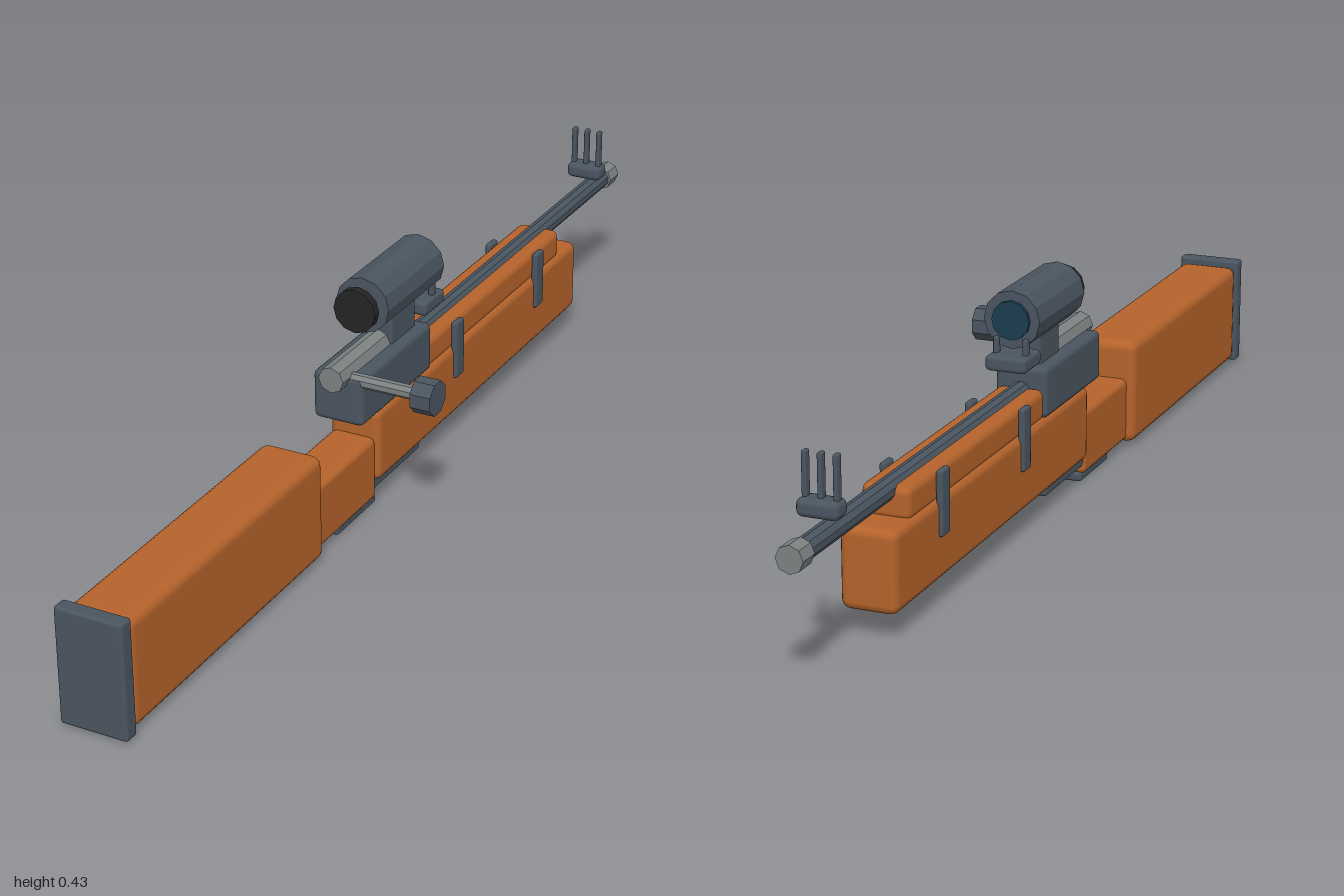
import * as THREE from 'three';
import { RoundedBoxGeometry } from 'three/addons/geometries/RoundedBoxGeometry.js';

const CX = -0.065; // centre line of the body

export function createModel() {
  const group = new THREE.Group();
  const mat = (color, flatShading = false) => new THREE.MeshStandardMaterial({ color, flatShading });
  const wood = mat(0xb5632b);
  const metal = mat(0x4a5560);
  const metalFlat = mat(0x4a5560, true);
  const steel = mat(0x7c8181, true);
  const black = mat(0x242424, true);
  const glass = mat(0x1c3d50, true);

  const add = (name, geometry, material) => {
    const mesh = new THREE.Mesh(geometry, material);
    mesh.name = name;
    group.add(mesh);
    return mesh;
  };

  // Bevelled box given by its x centre and width, and its y and z ranges
  const box = (name, material, x, w, y0, y1, z0, z1, bevel) => {
    const geo = new RoundedBoxGeometry(w, y1 - y0, z1 - z0, 2, bevel);
    geo.translate(x, (y0 + y1) / 2, (z0 + z1) / 2);
    return add(name, geo, material);
  };

  // Faceted cylinder lying along z
  const tubeZ = (name, material, r, y, z0, z1, sides) => {
    const geo = new THREE.CylinderGeometry(r, r, z1 - z0, sides);
    geo.rotateX(Math.PI / 2).translate(CX, y, (z0 + z1) / 2);
    return add(name, geo, material);
  };

  // Faceted cylinder lying along x
  const tubeX = (name, material, r, x0, x1, y, z, sides) => {
    const geo = new THREE.CylinderGeometry(r, r, x1 - x0, sides);
    geo.rotateY(Math.PI / 8).rotateZ(Math.PI / 2).translate((x0 + x1) / 2, y, z);
    return add(name, geo, material);
  };

  // Wooden stock
  box('buttStock', wood, CX, 0.12, 0.01, 0.213, 0.348, 0.972, 0.018);
  box('wrist', wood, CX, 0.088, 0.015, 0.14, 0.125, 0.36, 0.012);
  box('foreStock', wood, CX, 0.102, 0.048, 0.193, -0.73, 0.13, 0.016);
  box('handguard', wood, CX, 0.088, 0.185, 0.244, -0.66, -0.075, 0.014);

  // Metal fittings on the stock
  box('buttPlate', metal, CX, 0.128, 0.006, 0.224, 0.97, 1.0, 0.006);
  box('lowerPlate', metal, CX, 0.078, 0.002, 0.02, 0.12, 0.265, 0.006);
  box('floorPlate', metal, CX, 0.078, 0.03, 0.052, -0.055, 0.132, 0.006);
  box('junctionStrip', metal, CX, 0.08, 0.035, 0.128, 0.122, 0.14, 0.005);
  for (const z of [-0.188, -0.542]) {
    for (const s of [-1, 1]) {
      box('sideBand', metal, CX + s * 0.051, 0.013, 0.127, 0.244, z - 0.017, z + 0.017, 0.005);
    }
  }

  // Receiver with bolt and side handle
  box('receiver', metal, CX, 0.1, 0.188, 0.283, -0.083, 0.19, 0.011);
  tubeZ('bolt', steel, 0.025, 0.283, -0.01, 0.213, 8);
  tubeX('boltHandle', steel, 0.013, -0.06, 0.09, 0.275, 0.175, 8);
  tubeX('boltKnob', metalFlat, 0.033, 0.088, 0.128, 0.275, 0.175, 8);

  // Barrel and muzzle
  tubeZ('barrel', metalFlat, 0.019, 0.236, -0.97, -0.07, 10);
  tubeZ('muzzle', steel, 0.024, 0.236, -1.0, -0.96, 8);

  // Scope on its mount
  box('scopeMount', metal, CX, 0.056, 0.272, 0.345, -0.06, 0.035, 0.007);
  tubeZ('scopeBody', metalFlat, 0.0535, 0.38, -0.125, 0.093, 12);
  tubeZ('eyepiece', black, 0.042, 0.38, 0.108, 0.124, 12);
  tubeZ('frontLens', glass, 0.036, 0.38, -0.132, -0.12, 12);

  // Rear sight with two ears, front sight with three posts
  box('rearSightBase', metal, CX, 0.078, 0.291, 0.319, -0.158, -0.079, 0.008);
  for (const s of [-1, 1]) {
    box('rearSightEar', metal, CX + s * 0.028, 0.01, 0.31, 0.348, -0.133, -0.118, 0.003);
  }
  box('frontSightBase', metal, CX, 0.074, 0.268, 0.299, -0.908, -0.866, 0.011);
  for (const s of [-1, 0, 1]) {
    box('frontSightPost', metal, CX + s * 0.027, 0.009, 0.285, 0.373, -0.893, -0.878, 0.003);
  }

  return group;
}
